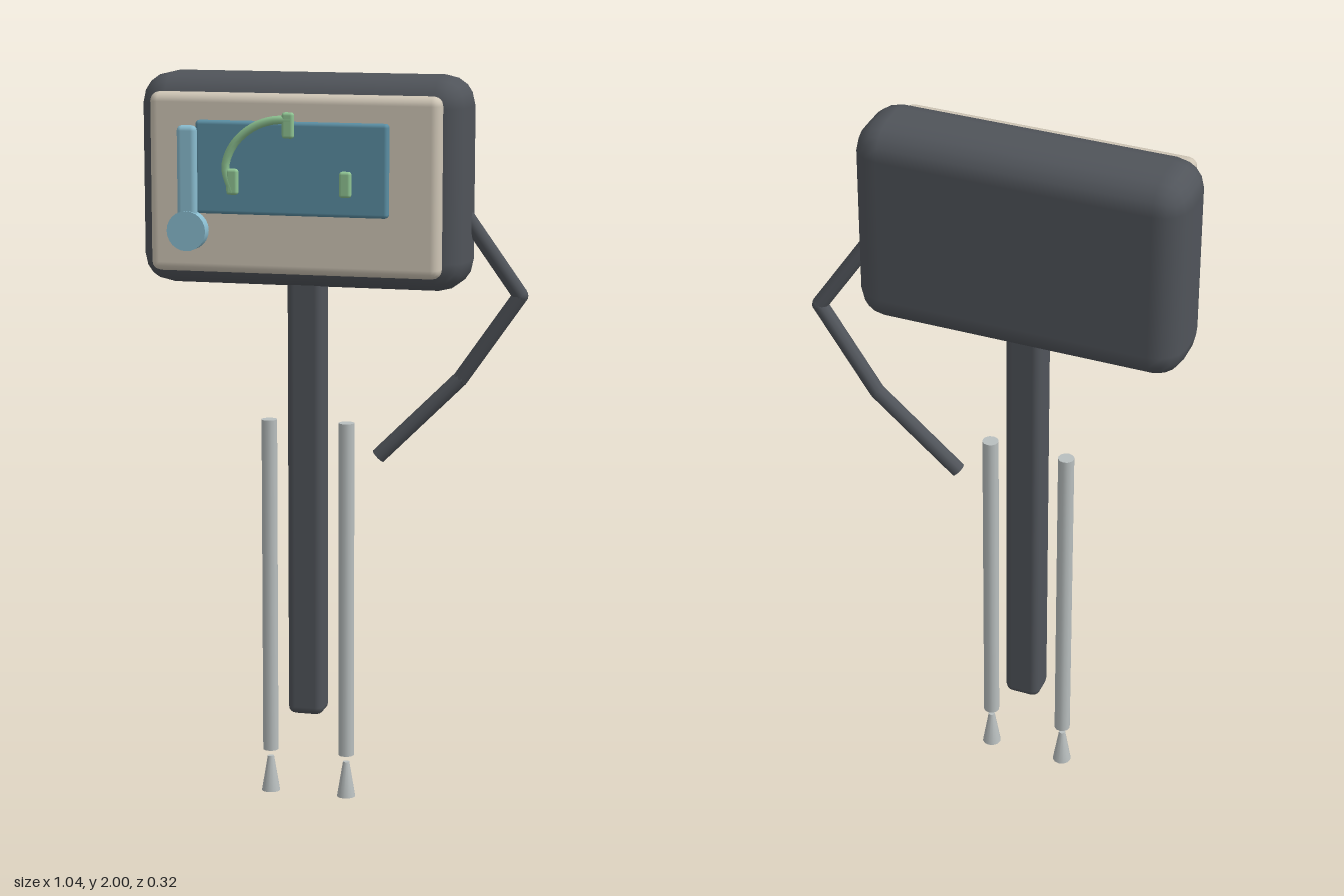
import * as THREE from 'three';
import { RoundedBoxGeometry } from 'three/addons/geometries/RoundedBoxGeometry.js';

const material = (name, color) => {
  const m = new THREE.MeshStandardMaterial({ color });
  m.name = name;
  return m;
};

export function createModel() {
  const model = new THREE.Group();
  const charcoal = material('charcoal', 0x50545a);
  const cream = material('cream', 0xcfc6b6);
  const teal = material('teal', 0x5a8ea3);
  const paleBlue = material('paleBlue', 0x8abdd0);
  const green = material('green', 0x8fc493);
  const grey = material('grey', 0xb9bfbf);

  const add = (name, geometry, mat, x = 0, y = 0, z = 0, parent = model) => {
    const mesh = new THREE.Mesh(geometry, mat);
    mesh.name = name;
    mesh.position.set(x, y, z);
    parent.add(mesh);
    return mesh;
  };

  // Rounded block given by its extents on each axis
  const block = (name, mat, [x0, x1], [y0, y1], [z0, z1], radius, segments = 2) =>
    add(name, new RoundedBoxGeometry(x1 - x0, y1 - y0, z1 - z0, segments, radius), mat,
      (x0 + x1) / 2, (y0 + y1) / 2, (z0 + z1) / 2);

  // Housing, front panel and screen
  block('housing', charcoal, [-0.52, 0.37], [1.435, 2], [-0.165, 0.065], 0.08);
  block('frontPanel', cream, [-0.47, 0.318], [1.48, 1.955], [0.055, 0.113], 0.025);
  block('screen', teal, [-0.335, 0.184], [1.64, 1.885], [0.105, 0.135], 0.01);

  // Lever with a round knob
  block('lever', paleBlue, [-0.382, -0.328], [1.6, 1.872], [0.125, 0.154], 0.014);
  const knob = new THREE.CylinderGeometry(0.053, 0.053, 0.034, 24).rotateX(Math.PI / 2);
  add('leverKnob', knob, paleBlue, -0.355, 1.595, 0.141);

  // Curved handle and its clips
  for (const [x, y] of [[-0.229, 1.728], [-0.078, 1.878], [0.075, 1.728]]) {
    block('clip', green, [x - 0.016, x + 0.016], [y - 0.034, y + 0.034], [0.139, 0.159], 0.008);
  }
  const arc = new THREE.CatmullRomCurve3([
    [-0.229, 1.70], [-0.248, 1.765], [-0.225, 1.825], [-0.175, 1.87], [-0.12, 1.89], [-0.07, 1.892],
  ].map(([x, y]) => new THREE.Vector3(x, y, 0.149)));
  add('curvedHandle', new THREE.TubeGeometry(arc, 20, 0.011, 8), green);

  // Central post
  block('post', charcoal, [-0.126, -0.026], [0.238, 1.5], [-0.09, 0], 0.022);

  // Twin rods with cone feet beneath
  for (const x of [-0.185, 0.032]) {
    add('rod', new THREE.CylinderGeometry(0.022, 0.022, 0.94, 12), grey, x, 0.59, -0.043);
    add('foot', new THREE.CylinderGeometry(0.009, 0.026, 0.1, 12), grey, x, 0.05, -0.043);
  }

  // Bent side arm
  const arm = new THREE.Group();
  arm.name = 'arm';
  model.add(arm);
  const joints = [
    [0.33, 1.665, -0.055], [0.495, 1.418, -0.098], [0.333, 1.185, -0.105], [0.112, 0.965, -0.077],
  ].map(p => new THREE.Vector3(...p));
  const r = 0.021;
  for (let i = 0; i < joints.length - 1; i++) {
    const dir = joints[i + 1].clone().sub(joints[i]);
    const mid = joints[i].clone().addScaledVector(dir, 0.5);
    const segment = add('armSegment', new THREE.CylinderGeometry(r, r, dir.length(), 10), charcoal,
      mid.x, mid.y, mid.z, arm);
    segment.quaternion.setFromUnitVectors(new THREE.Vector3(0, 1, 0), dir.normalize());
    if (i > 0) add('armJoint', new THREE.SphereGeometry(r, 10, 8), charcoal, ...joints[i].toArray(), arm);
  }

  return model;
}
